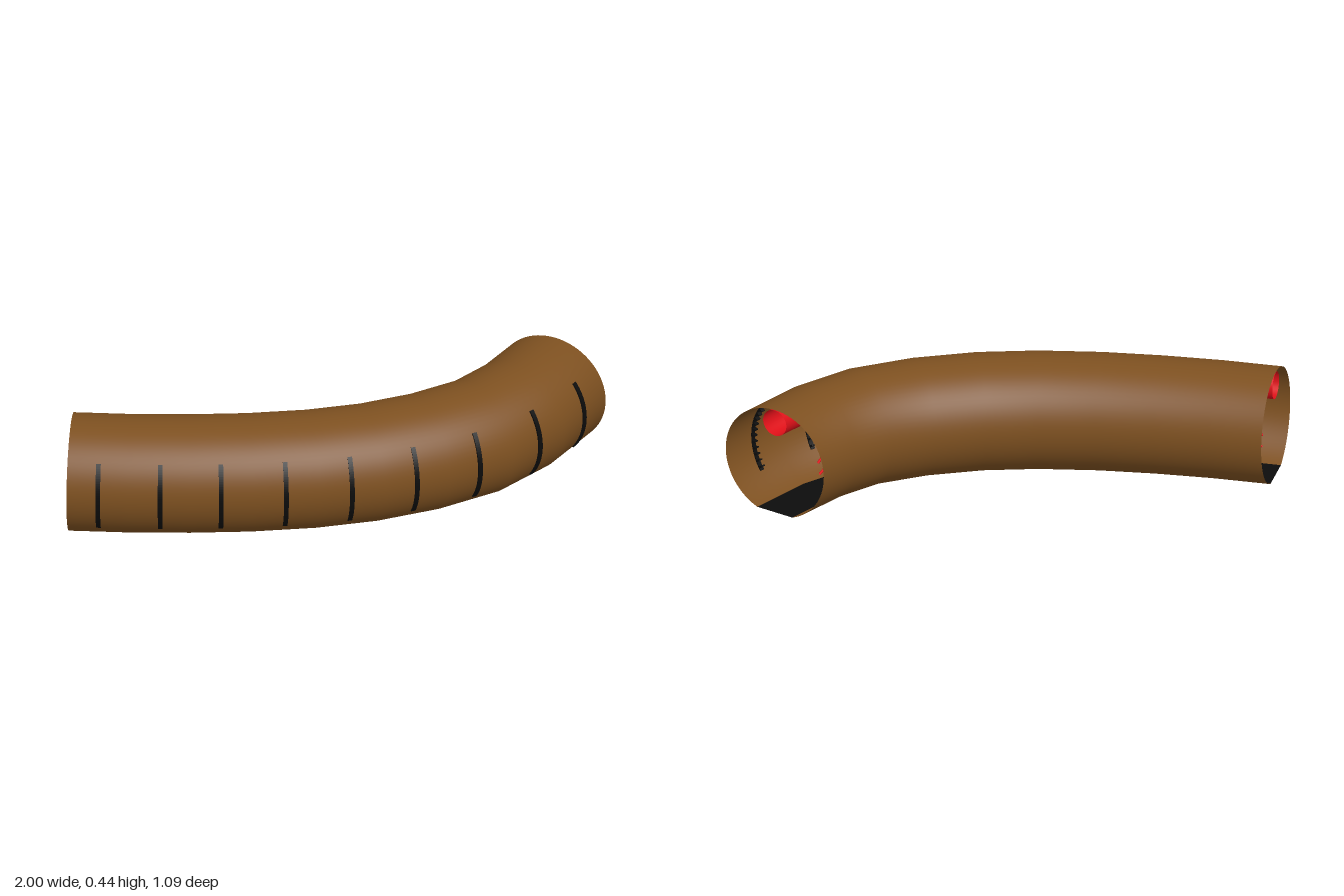
import * as THREE from 'three';
import { ParametricGeometry } from 'three/addons/geometries/ParametricGeometry.js';

const R = 0.2275;      // tunnel radius
const CY = 0.2125;     // height of the tunnel axis
const SEGMENTS = 9;    // straight pieces along the bend
const CUT = Math.asin(CY / R); // angle where the wall meets the flat floor

// Axis of the tunnel in plan; the first and last points only steer the ends
const plan = [[-1.23, 0.3075], [-1, 0.3125], [-0.77, 0.307], [-0.545, 0.29], [-0.32, 0.262], [-0.085, 0.215],
  [0.13, 0.1475], [0.34, 0.047], [0.53, -0.085], [0.671, -0.257], [0.785, -0.47], [0.824, -0.678]];
const axis = new THREE.CatmullRomCurve3(plan.map(([x, z]) => new THREE.Vector3(x, 0, z)), false, 'catmullrom', 0.5);
const UP = new THREE.Vector3(0, 1, 0);

// Position and sideways direction on the axis, t from 0 to 1
function frame(t) {
  const u = (1 + t * SEGMENTS) / (plan.length - 1);
  const p = axis.getPoint(u);
  const side = axis.getTangent(u).cross(UP).normalize();
  return { p, side };
}

function place(t, lateral, y, target = new THREE.Vector3()) {
  const { p, side } = frame(t);
  return target.copy(p).addScaledVector(side, lateral).setY(y);
}

// Surface swept along the axis from a section(v) => [lateral, y]
function sweep(section, steps) {
  return new ParametricGeometry((u, v, target) => {
    const [lateral, y] = section(v);
    place(u, lateral, y, target);
  }, SEGMENTS, steps);
}

function arc(radius, y, from, to) {
  return v => {
    const a = from + (to - from) * v;
    return [radius * Math.cos(a), y + radius * Math.sin(a)];
  };
}

// Toothed arc that lies against the side wall
function ribGeometry() {
  const half = 0.68, teeth = 11, outer = R - 0.001, inner = R - 0.012, tip = R - 0.026;
  const shape = new THREE.Shape();
  shape.absarc(0, 0, outer, -half, half, false);
  const step = (2 * half) / teeth;
  for (let i = 0; i < teeth; i++) {
    const a = half - i * step;
    [[inner, 0], [inner, 0.35], [tip, 0.4], [tip, 0.6], [inner, 0.65]].forEach(([r, f]) =>
      shape.lineTo(r * Math.cos(a - f * step), r * Math.sin(a - f * step)));
  }
  shape.lineTo(inner * Math.cos(half), -inner * Math.sin(half));
  const g = new THREE.ExtrudeGeometry(shape, { depth: 0.018, bevelEnabled: false, curveSegments: 16 });
  return g.translate(0, 0, -0.009);
}

export function createModel() {
  const group = new THREE.Group();
  const paint = color => new THREE.MeshStandardMaterial({ color, side: THREE.DoubleSide });
  const brown = paint(0x7d5020), black = paint(0x0c0c0c), red = paint(0xdd1018);
  const add = (name, geometry, material, parent = group) => {
    const mesh = new THREE.Mesh(geometry, material);
    mesh.name = name;
    parent.add(mesh);
    return mesh;
  };

  // Open shell, flat floor and ceiling pipe
  add('tunnelWall', sweep(arc(R, CY, -CUT, Math.PI + CUT), 64), brown);
  const floorHalf = R * Math.cos(CUT);
  add('floor', sweep(v => [floorHalf * (2 * v - 1), 0], 1), black);
  add('ceilingPipe', sweep(arc(0.054, 0.384, 0, 2 * Math.PI), 32), red);

  // Ribs in the middle of every piece, on both walls
  const ribs = new THREE.Group();
  ribs.name = 'wallRibs';
  group.add(ribs);
  const rib = ribGeometry();
  for (let i = 0; i < SEGMENTS; i++) {
    const { p, side } = frame((i + 0.5) / SEGMENTS);
    for (const turn of [0, Math.PI]) {
      const mesh = add(turn ? 'innerRib' : 'outerRib', rib, black, ribs);
      mesh.position.set(p.x, CY, p.z);
      mesh.rotation.y = Math.atan2(-side.z, side.x) + turn;
    }
  }

  // Sagging cables along the inner side of the bend
  [0.278, 0.234].forEach((height, k) => {
    const points = [];
    for (let i = 0; i <= 36; i++) {
      const y = height + 0.009 * Math.cos((i / 4) * 2 * Math.PI + 2.4 + k * 0.5);
      const wall = Math.sqrt(R * R - (y - CY) ** 2) - 0.018;
      points.push(place(i / 36, -wall, y));
    }
    add('cable', new THREE.TubeGeometry(new THREE.CatmullRomCurve3(points), 108, 0.005, 8), red);
  });

  return group;
}
